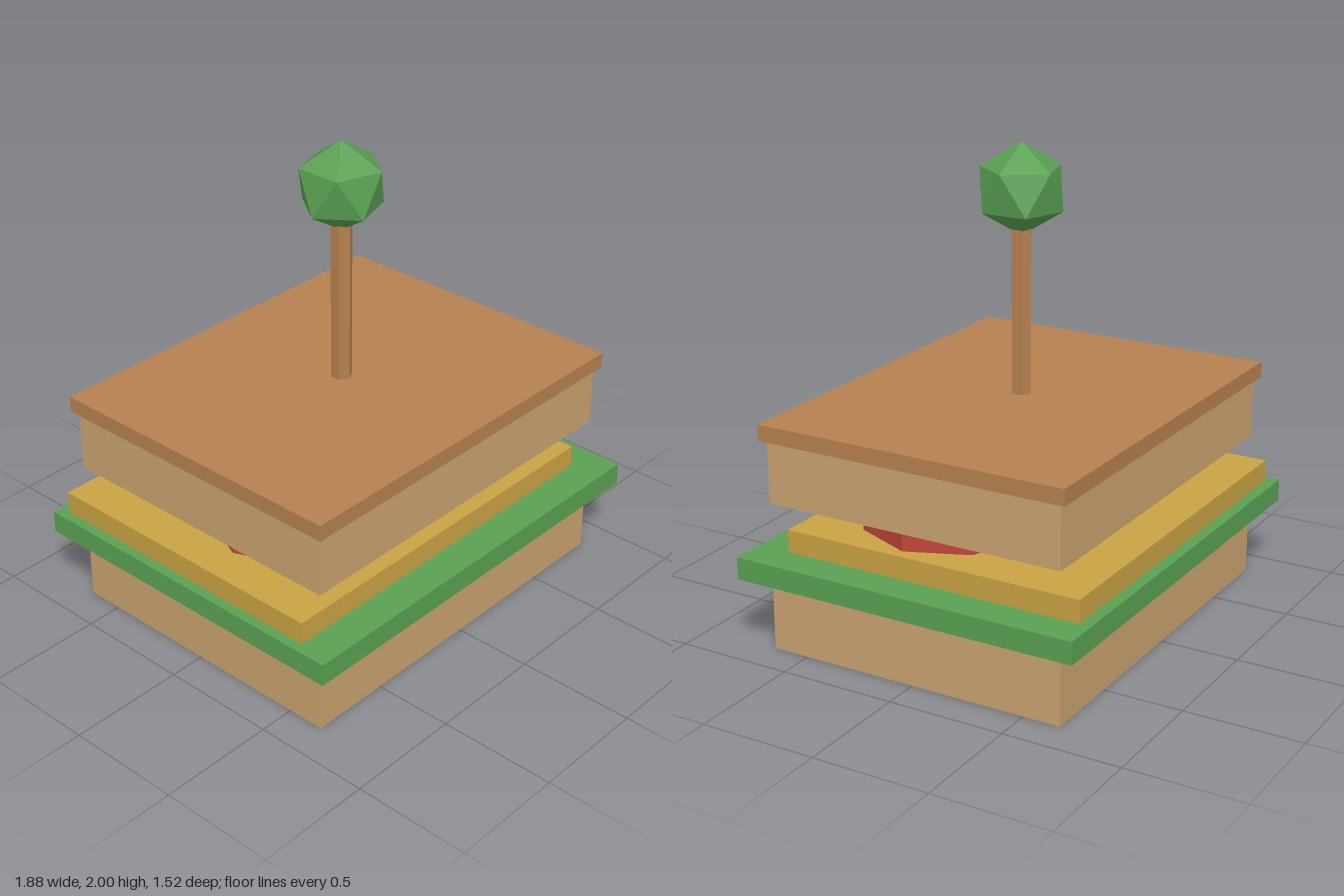
import * as THREE from 'three';

export function createModel() {
  const model = new THREE.Group();
  model.name = 'sandwich';

  const material = (name, color) => {
    const m = new THREE.MeshStandardMaterial({ color, flatShading: true });
    m.name = name;
    return m;
  };
  const bread = material('bread', 0xc8a26e);
  const crust = material('crust', 0xb5804f);
  const green = material('leaf green', 0x5aa053);
  const cheese = material('cheese yellow', 0xc8a244);
  const tomato = material('tomato red', 0xc0453c);

  const add = (name, geometry, mat, x, y, z) => {
    const mesh = new THREE.Mesh(geometry, mat);
    mesh.name = name;
    mesh.position.set(x, y, z);
    model.add(mesh);
    return mesh;
  };

  // Slab spanning bottom..top in height, centred on x, z
  const slab = (name, mat, width, depth, bottom, top, x = 0, z = 0) =>
    add(name, new THREE.BoxGeometry(width, top - bottom, depth), mat, x, (bottom + top) / 2, z);

  // Layers, bottom to top
  slab('bottomBread', bread, 1.69, 1.32, 0, 0.317);
  slab('lettuce', green, 1.88, 1.52, 0.317, 0.412);
  slab('cheese', cheese, 1.69, 1.325, 0.412, 0.508, -0.052, -0.048);
  slab('topBread', bread, 1.69, 1.32, 0.63, 0.895);
  slab('topCrust', crust, 1.736, 1.37, 0.895, 0.963);

  // Pair of eight-sided tomato slices
  for (const [name, side] of [['leftTomato', 1], ['rightTomato', -1]]) {
    add(name, new THREE.CylinderGeometry(0.36, 0.36, 0.122, 8), tomato, side * 0.385, 0.569, 0.1);
  }

  // Six-sided pick
  add('pick', new THREE.CylinderGeometry(0.045, 0.045, 0.69, 6), crust, 0, 1.305, 0);

  // Faceted olive, tipped so one corner points straight up
  const olive = add('olive', new THREE.IcosahedronGeometry(0.19, 0), green, 0, 1.81, 0);
  olive.rotation.z = -Math.atan(2 / (1 + Math.sqrt(5)));

  return model;
}
